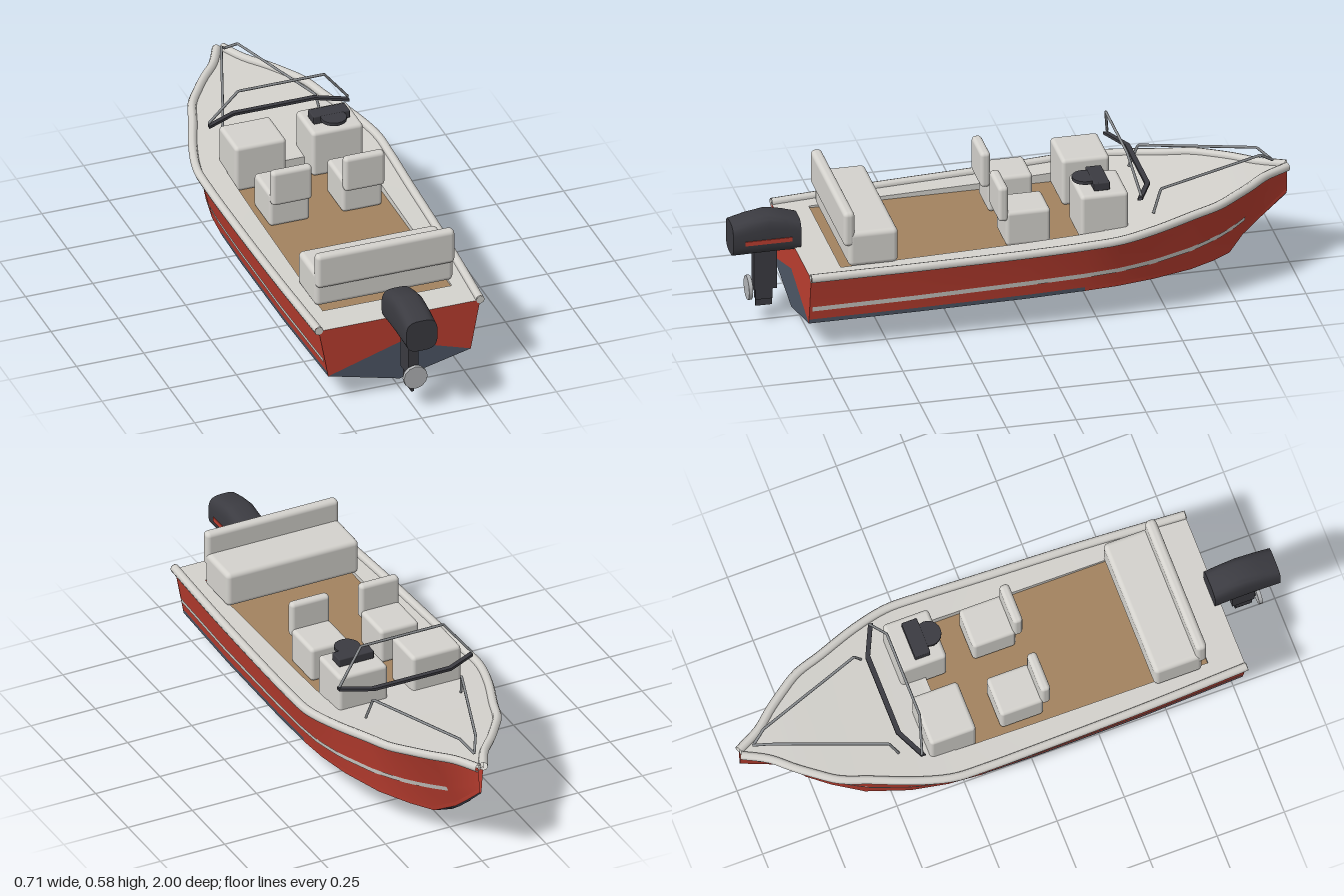
import * as THREE from 'three';
import { toCreasedNormals } from 'three/addons/utils/BufferGeometryUtils.js';
import { RoundedBoxGeometry } from 'three/addons/geometries/RoundedBoxGeometry.js';

const material = (name, color, side = THREE.DoubleSide) => {
  const m = new THREE.MeshStandardMaterial({ color, side });
  m.name = name;
  return m;
};

// Hull stations: z, keel y, chine x, chine y, sheer x, sheer y
const STATIONS = [
  [0.78, 0.037, 0.265, 0.102, 0.300, 0.292],
  [0.40, 0.020, 0.283, 0.112, 0.319, 0.302],
  [0.00, 0.010, 0.290, 0.120, 0.331, 0.312],
  [-0.20, 0.003, 0.289, 0.125, 0.336, 0.321],
  [-0.32, 0.000, 0.280, 0.126, 0.334, 0.328],
  [-0.45, 0.003, 0.255, 0.125, 0.302, 0.338],
  [-0.60, 0.037, 0.200, 0.118, 0.246, 0.350],
  [-0.70, 0.072, 0.130, 0.106, 0.210, 0.359],
  [-0.77, 0.085, 0.070, 0.099, 0.163, 0.365],
  [-0.83, 0.130, 0.016, 0.136, 0.118, 0.369],
  [-0.90, 0.190, 0.008, 0.196, 0.058, 0.373],
  [-0.99, 0.270, 0.003, 0.275, 0.010, 0.376],
];
const BOOT = 0.016;

// Hull section at any z
function section(z) {
  let i = 0;
  while (i < STATIONS.length - 2 && z < STATIONS[i + 1][0]) i++;
  const a = STATIONS[i], b = STATIONS[i + 1];
  const t = (z - a[0]) / (b[0] - a[0]);
  const [, keelY, chineX, chineY, sheerX, sheerY] = a.map((v, k) => v + (b[k] - v) * t);
  return { z, keelY, chineX, chineY, sheerX, sheerY };
}

// Point on the topside at height y; slightly hollow between chine and sheer
function topside(s, y, out = 0) {
  const t = Math.max(0, (y - s.chineY) / (s.sheerY - s.chineY));
  return [s.chineX + (s.sheerX - s.chineX) * Math.pow(t, 1.15) + out, y, s.z];
}

// Surface through rows of points
function skin(rows, crease = 0.6) {
  const n = rows[0].length, index = [];
  for (let r = 0; r < rows.length - 1; r++) {
    for (let c = 0; c < n - 1; c++) {
      const a = r * n + c, b = a + n;
      index.push(a, b, a + 1, a + 1, b, b + 1);
    }
  }
  const g = new THREE.BufferGeometry();
  g.setAttribute('position', new THREE.Float32BufferAttribute(rows.flat(2), 3));
  g.setIndex(index);
  return toCreasedNormals(g, crease);
}

function flat(points) {
  return new THREE.ShapeGeometry(new THREE.Shape(points.map(([x, y]) => new THREE.Vector2(x, y))));
}

function pipe(points, radius, sides = 6) {
  const path = new THREE.CurvePath();
  const v = points.map((p) => new THREE.Vector3(...p));
  for (let i = 0; i < v.length - 1; i++) path.add(new THREE.LineCurve3(v[i], v[i + 1]));
  return new THREE.TubeGeometry(path, 80, radius, sides);
}

export function createModel() {
  const boat = new THREE.Group();
  boat.name = 'motorboat';
  const red = material('hull red', 0xbc3e30);
  const navy = material('bottom navy', 0x4e5766);
  const white = material('off white', 0xd4d2cd);
  const brown = material('floor tan', 0xa3835f);
  const dark = material('motor charcoal', 0x3b3b41);
  const steel = material('rail steel', 0x8b8e91);
  const silver = material('propeller silver', 0xb4b6b8);

  const add = (name, geometry, mat, x = 0, y = 0, z = 0, parent = boat) => {
    const m = new THREE.Mesh(geometry, mat);
    m.name = name;
    m.position.set(x, y, z);
    parent.add(m);
    return m;
  };
  // Box given by its limits, rounded when r > 0
  const block = (name, mat, [x0, x1], [y0, y1], [z0, z1], r = 0, parent = boat) => {
    const size = [x1 - x0, y1 - y0, z1 - z0];
    const g = r ? new RoundedBoxGeometry(...size, 3, r) : new THREE.BoxGeometry(...size);
    return add(name, g, mat, (x0 + x1) / 2, (y0 + y1) / 2, (z0 + z1) / 2, parent);
  };

  const zs = STATIONS.map((s) => s[0]);
  const floorY = 0.288, wellX = 0.24, wellFront = -0.3, wellBack = 0.66;

  for (const s of [1, -1]) {
    const side = s > 0 ? 'left' : 'right';
    const flip = (p) => [p[0] * s, p[1], p[2]];
    const strip = (name, mat, list, make) =>
      add(side + name, skin(list.map((z) => make(section(z)).map(flip))), mat);

    // Hull shell
    strip('Bottom', navy, zs, (h) => [0, 0.5, 1].map((t) =>
      [h.chineX * t, h.keelY + (h.chineY - h.keelY) * t, h.z]));
    const boot = (h) => [[h.chineX, h.chineY, h.z], topside(h, h.chineY + BOOT)];
    strip('BootTop', navy, zs.filter((z) => z >= -0.2), boot);
    strip('BowLowerSide', red, zs.filter((z) => z <= -0.2), boot);
    strip('Topside', red, zs, (h) => [0, 0.25, 0.5, 0.75, 1].map((t) =>
      topside(h, h.chineY + BOOT + (h.sheerY - h.chineY - BOOT) * t)));

    // Painted stripe
    const stripeZ = Array.from({ length: 41 }, (_, i) => 0.77 - i * 0.04);
    strip('Stripe', white, stripeZ, (h) => {
      const y = 0.163 + (0.77 - h.z) * 0.032;
      return [topside(h, y - 0.009, 0.004), topside(h, y + 0.009, 0.004)];
    });

    // Side deck and well wall
    const wellZ = [wellBack, 0.4, 0, -0.2, wellFront];
    strip('SideDeck', white, [0.78, ...wellZ], (h) => [[wellX, h.sheerY, h.z], [h.sheerX, h.sheerY, h.z]]);
    strip('WellWall', white, wellZ, (h) => [[wellX, floorY, h.z], [wellX, h.sheerY, h.z]]);

    // Gunwale rail with stern cap
    const curve = new THREE.CatmullRomCurve3(STATIONS.map((a) => new THREE.Vector3(a[4] * s, a[5] + 0.002, a[0])));
    add(side + 'Gunwale', new THREE.TubeGeometry(curve, 72, 0.016, 8), white);
    add(side + 'GunwaleCap', new THREE.CircleGeometry(0.016, 8), white, 0.30 * s, 0.294, 0.782);

    // Bow rail
    add(side + 'BowRail', pipe([[0.185, 0.345, -0.47], [0.172, 0.43, -0.5],
      [0.03, 0.445, -0.89], [0, 0.405, -0.94]].map(flip), 0.005), steel);

    // Console and passenger seat
    const span = (a, b) => (s > 0 ? [a, b] : [-b, -a]);
    block(side + 'Console', white, span(0.048, 0.238), [floorY, 0.465], [-0.37, -0.2], 0.014);
    block(side + 'SeatBase', white, span(0.06, 0.21), [floorY, 0.42], [-0.098, 0.062], 0.014);
    block(side + 'SeatBack', white, span(0.06, 0.21), [0.385, 0.52], [0.052, 0.088], 0.014);
  }

  // Transom
  add('transomUpper', flat([[-0.3, 0.292], [-0.265, 0.102], [0, 0.185], [0.265, 0.102], [0.3, 0.292]]), red, 0, 0, 0.78);
  add('transomLower', flat([[-0.265, 0.102], [0, 0.037], [0.265, 0.102], [0, 0.185]]), navy, 0, 0, 0.78);

  // Foredeck, aft deck, floor and step
  const across = (list) => skin(list.map((z) => {
    const h = section(z);
    return [-1, 0, 1].map((t) => [h.sheerX * t, h.sheerY, z]);
  }));
  add('foredeck', across([wellFront, ...zs.filter((z) => z < wellFront)]), white);
  const aft = section(wellBack).sheerY;
  add('aftDeck', skin([[[-wellX, aft, wellBack], [wellX, aft, wellBack]], [[-wellX, 0.292, 0.78], [wellX, 0.292, 0.78]]]), white);
  block('floor', brown, [-wellX, wellX], [floorY - 0.01, floorY], [wellFront, wellBack]);
  block('foredeckStep', white, [-wellX, wellX], [floorY, section(wellFront).sheerY], [wellFront - 0.02, wellFront + 0.02]);

  // Stern bench
  block('benchBase', white, [-0.257, 0.257], [0.298, 0.43], [0.457, 0.635], 0.018);
  block('benchBack', white, [-0.257, 0.257], [0.378, 0.51], [0.612, 0.652], 0.016);

  // Windscreen frame and its base bar
  add('windscreenFrame', pipe([[-0.258, 0.455, -0.41], [-0.16, 0.58, -0.382],
    [0.16, 0.58, -0.382], [0.258, 0.455, -0.41]], 0.005), steel);
  const bar = [[-0.26, -0.405], [-0.15, -0.457], [0.15, -0.457], [0.26, -0.405]];
  add('windscreenBase', skin([...bar, bar[0]].slice(0, 4).map(([x, z]) => [
    [x, 0.440, z - 0.009], [x, 0.450, z - 0.009], [x, 0.450, z + 0.009],
    [x, 0.440, z + 0.009], [x, 0.440, z - 0.009]])), dark);

  // Dash and steering wheel
  block('dash', dark, [0.072, 0.208], [0.466, 0.497], [-0.31, -0.253], 0.004);
  add('steeringWheel', new THREE.CylinderGeometry(0.046, 0.046, 0.012, 20), dark, 0.14, 0.49, -0.236);

  // Outboard motor
  const motor = new THREE.Group();
  motor.name = 'outboardMotor';
  boat.add(motor);
  const pow = (v) => Math.sign(v) * Math.pow(Math.abs(v), 0.6);
  const ring = (z, top, k = 1) => Array.from({ length: 33 }, (_, i) => {
    const a = (i / 32) * Math.PI * 2, mid = (top + 0.275) / 2;
    return [0.058 * k * pow(Math.cos(a)), mid + (top - 0.275) / 2 * k * pow(Math.sin(a)), z];
  });
  add('cowl', skin([ring(1, 0.395, 0), ring(1, 0.395), ring(0.94, 0.412), ring(0.87, 0.424),
    ring(0.81, 0.412), ring(0.757, 0.395), ring(0.757, 0.395, 0)]), dark, 0, 0, 0, motor);
  block('cowlStripe', red, [0.055, 0.061], [0.322, 0.338], [0.79, 0.957], 0, motor);
  block('motorLeg', dark, [-0.018, 0.018], [0.125, 0.3], [0.835, 0.918], 0, motor);
  block('gearcase', dark, [-0.014, 0.014], [0.085, 0.14], [0.85, 0.91], 0, motor);
  block('skeg', dark, [-0.005, 0.005], [0.057, 0.09], [0.85, 0.908], 0, motor);
  add('propellerShaft', new THREE.CylinderGeometry(0.01, 0.01, 0.03, 10), dark, 0, 0.13, 0.918, motor).rotation.x = Math.PI / 2;
  add('propeller', new THREE.CylinderGeometry(0.044, 0.044, 0.014, 12), silver, 0, 0.13, 0.933, motor).rotation.x = Math.PI / 2;

  return boat;
}
